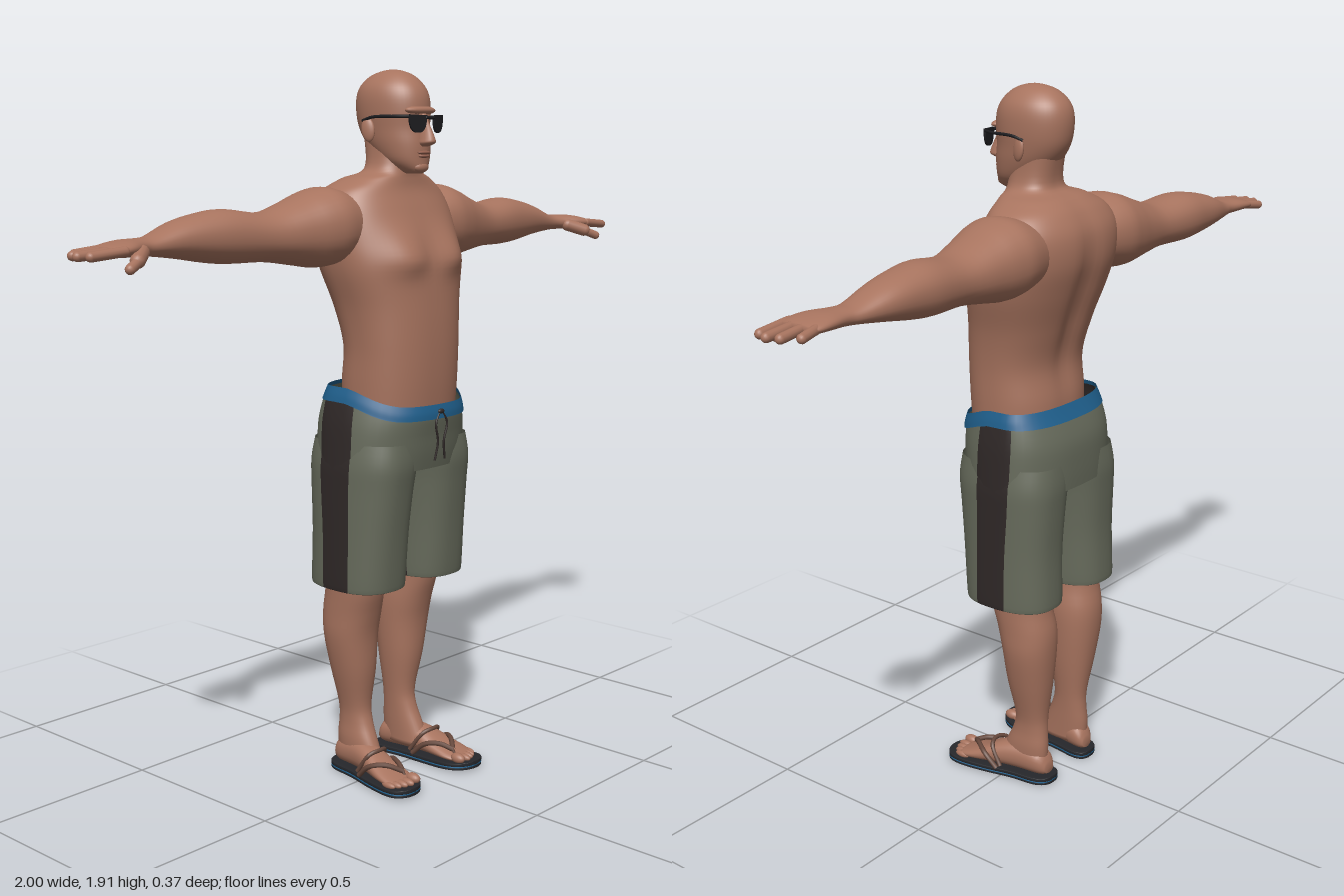
import * as THREE from 'three';

const mat = (name, color, side = THREE.FrontSide) => {
  const m = new THREE.MeshStandardMaterial({ color, side });
  m.name = name;
  return m;
};

// Smooth loft. Each section is [t, a0, a1, bFront, bBack, bCentre]; 'map' places (a, t, b) in space.
function loft(sections, { n = 2.2, cols = 48, sub = 4, caps = true, stripe = null, map = (a, t, b) => [a, t, b] } = {}) {
  const rows = [], last = sections.length - 1;
  const full = sections.map(s => (s.length > 5 ? s : [...s, (s[3] + s[4]) / 2]));
  const spline = (p, q, r, s, u) => q + 0.5 * u * (r - p + u * (2 * p - 5 * q + 4 * r - s + u * (3 * (q - r) + s - p)));
  for (let i = 0; i < last; i++)
    for (let k = 0; k < sub; k++) {
      const s = [Math.max(i - 1, 0), i, i + 1, Math.min(i + 2, last)].map(j => full[j]);
      rows.push(full[i].map((_, c) => spline(s[0][c], s[1][c], s[2][c], s[3][c], k / sub)));
    }
  rows.push(full[last]);
  const pos = [], plain = [], marked = [], capIdx = [];
  const pw = v => Math.sign(v) * Math.pow(Math.abs(v), 2 / n);
  for (const [t, a0, a1, bf, bb, bc] of rows)
    for (let j = 0; j < cols; j++) {
      const th = (j / cols) * Math.PI * 2, c = pw(Math.cos(th)), s = pw(Math.sin(th));
      pos.push(...map((a0 + a1) / 2 + c * (a1 - a0) / 2, t, bc + s * (s > 0 ? bf - bc : bc - bb)));
    }
  const R = rows.length;
  for (let i = 0; i < R - 1; i++)
    for (let j = 0; j < cols; j++) {
      const k = (j + 1) % cols, a = i * cols + j, b = a + cols, c = i * cols + k, d = c + cols;
      (stripe && stripe(j, cols) ? marked : plain).push(a, b, c, b, d, c);
    }
  for (const [row, up] of [[0, false], [R - 1, true]]) {
    const [t, a0, a1, bf, bb] = rows[row], m = pos.length / 3;
    pos.push(...map((a0 + a1) / 2, t, (bf + bb) / 2));
    for (let j = 0; j < cols; j++) {
      const p = row * cols + j, q = row * cols + (j + 1) % cols;
      capIdx.push(...(up ? [m, q, p] : [m, p, q]));
    }
  }
  // turn the faces outward
  const v = i => new THREE.Vector3().fromArray(pos, i * 3);
  const all = [...plain, ...marked, ...capIdx];
  let vol = 0;
  for (let i = 0; i < all.length; i += 3) vol += v(all[i]).dot(v(all[i + 1]).cross(v(all[i + 2])));
  const idx = caps ? all : [...plain, ...marked];
  if (vol < 0) flip(idx);
  const g = new THREE.BufferGeometry();
  g.setAttribute('position', new THREE.Float32BufferAttribute(pos, 3));
  g.setIndex(idx);
  if (stripe) {
    g.addGroup(0, plain.length, 0);
    g.addGroup(plain.length, marked.length, 1);
  }
  g.computeVertexNormals();
  return g;
}

function flip(idx) {
  for (let i = 0; i < idx.length; i += 3) [idx[i + 1], idx[i + 2]] = [idx[i + 2], idx[i + 1]];
}

const ball = (x, y, z, rx, ry, rz) => new THREE.SphereGeometry(1, 20, 14).scale(rx, ry, rz).translate(x, y, z);
const tube = (pts, r) => new THREE.TubeGeometry(new THREE.CatmullRomCurve3(pts.map(p => new THREE.Vector3(...p))), 24, r, 8);
function capsule(p, q, r) {
  const a = new THREE.Vector3(...p), b = new THREE.Vector3(...q), d = b.clone().sub(a);
  const rot = new THREE.Quaternion().setFromUnitVectors(new THREE.Vector3(0, 1, 0), d.clone().normalize());
  const mid = a.add(b).multiplyScalar(0.5);
  return new THREE.CapsuleGeometry(r, d.length(), 6, 12).applyQuaternion(rot).translate(mid.x, mid.y, mid.z);
}
const sym = list => list.map(([y, r, ...z]) => [y, -r, r, ...z]);
const bell = (v, w) => Math.exp(-((v / w) ** 2));

export function createModel() {
  const root = new THREE.Group();
  const skin = mat('skin', 0xa8745f), lipTone = mat('lips', 0x93604f);
  const cloth = mat('shorts green', 0x666a5b, THREE.DoubleSide), dark = mat('stripe dark', 0x2f2827, THREE.DoubleSide);
  const blue = mat('waistband blue', 0x1f5f8c, THREE.DoubleSide), black = mat('glasses black', 0x1d1d20);
  const rubber = mat('sole rubber', 0x26272b), strapTone = mat('strap brown', 0x66483c);

  const add = (name, geo, m) => {
    const mesh = new THREE.Mesh(geo, m);
    mesh.name = name;
    root.add(mesh);
  };
  const pair = (name, geo, m) => {
    add('left ' + name, geo, m);
    const g = geo.clone().scale(-1, 1, 1), idx = Array.from(g.index.array);
    flip(idx);
    g.setIndex(idx);
    add('right ' + name, g, m);
  };

  // Torso and neck, with chest muscles and a spine groove
  add('torso', loft(sym([
    [1.0, .16, .14, -.11], [1.1, .163, .148, -.112], [1.2, .165, .15, -.103], [1.3, .178, .146, -.13],
    [1.4, .204, .136, -.165], [1.48, .214, .112, -.187], [1.55, .212, .085, -.185], [1.6, .185, .064, -.16],
    [1.632, .13, .058, -.125], [1.66, .073, .057, -.075], [1.75, .062, .05, -.085],
  ]), {
    n: 2.4, cols: 72, sub: 6,
    map: (x, y, z) => z > 0
      ? [x, y, z + .024 * bell(Math.abs(x) - .085, .065) * bell(y - 1.43, y < 1.43 ? .04 : .07) * Math.min(1, z / .06)]
      : [x, y, z + .018 * bell(x, .035) * bell(y - 1.36, .2) * Math.min(1, -z / .06)],
  }), skin);

  // Head
  add('head', loft(sym([
    [1.645, .018, .09, .03], [1.655, .036, .101, .0], [1.68, .057, .103, -.03], [1.72, .07, .104, -.075],
    [1.76, .076, .1, -.102], [1.8, .08, .102, -.112], [1.84, .079, .098, -.112], [1.87, .069, .083, -.1],
    [1.895, .046, .055, -.072], [1.907, .022, .025, -.04], [1.911, .005, .0, -.015],
  ]), { n: 2.1 }), skin);
  add('nose', loft(sym([
    [1.714, .009, .112, .08], [1.723, .018, .135, .08], [1.735, .016, .136, .08], [1.765, .009, .122, .08], [1.798, .01, .104, .08],
  ]), { cols: 20 }), skin);
  add('brow', ball(0, 1.806, .088, .055, .012, .021), skin);
  add('chin', ball(0, 1.662, .09, .026, .015, .015), skin);
  add('upper lip', ball(0, 1.699, .102, .024, .005, .009), lipTone);
  add('lower lip', ball(0, 1.69, .101, .02, .005, .009), lipTone);
  pair('ear', ball(0, 0, 0, .009, .031, .019).rotateY(-.3).rotateX(-.15).translate(.083, 1.757, -.018), skin);

  // Sunglasses
  const lens = new THREE.Shape();
  lens.moveTo(-.024, .02);
  lens.lineTo(.029, .022);
  lens.bezierCurveTo(.031, -.008, .022, -.024, .002, -.024);
  lens.bezierCurveTo(-.017, -.024, -.023, -.008, -.024, .02);
  const lensGeo = new THREE.ExtrudeGeometry(lens, { depth: .006, bevelEnabled: false });
  lensGeo.setIndex([...Array(lensGeo.attributes.position.count).keys()]);
  pair('lens', lensGeo.rotateY(.28).translate(.035, 1.773, .112), black);
  add('glasses bridge', capsule([-.014, 1.787, .122], [.014, 1.787, .122], .004), black);
  pair('glasses temple', tube([[.062, 1.79, .106], [.078, 1.79, .07], [.086, 1.789, 0], [.086, 1.78, -.035]], .004), black);

  // Arms, hands and fingers
  pair('arm', loft([
    [.1, 1.44, 1.58, .03, -.15], [.2, 1.415, 1.612, .055, -.175], [.26, 1.41, 1.605, .05, -.172],
    [.33, 1.42, 1.58, .03, -.16], [.42, 1.432, 1.555, .008, -.15], [.53, 1.433, 1.566, -.005, -.16],
    [.6, 1.44, 1.56, -.015, -.158], [.68, 1.453, 1.542, -.028, -.15], [.76, 1.463, 1.512, -.04, -.128],
    [.8, 1.465, 1.508, -.038, -.118], [.85, 1.466, 1.507, -.012, -.124], [.89, 1.468, 1.5, -.003, -.124],
    [.915, 1.472, 1.492, -.01, -.116],
  ], { cols: 36, map: (y, x, z) => [x, y, z] }), skin);
  [[-.014, -.02, .976], [-.044, -.052, .988], [-.075, -.084, .978], [-.105, -.118, .948]].forEach(([z0, z1, x], i) =>
    pair('finger ' + (i + 1), capsule([.885, 1.484, z0], [x, 1.476, z1], .012), skin));
  pair('thumb base', capsule([.82, 1.478, -.035], [.86, 1.462, -.002], .018), skin);
  pair('thumb', capsule([.855, 1.462, -.002], [.895, 1.446, .015], .0125), skin);

  // Lower legs
  pair('leg', loft([
    [.04, .06, .127, .04, -.115], [.1, .058, .13, .012, -.119], [.15, .056, .126, -.01, -.115],
    [.2, .052, .13, -.018, -.115], [.3, .04, .155, -.003, -.13], [.4, .033, .175, .005, -.142],
    [.47, .032, .178, .02, -.143], [.55, .04, .18, .04, -.13], [.68, .035, .185, .05, -.13],
  ], { cols: 36 }), skin);

  // Shorts: the waist dips at the front, a dark stripe runs down each side
  const dip = (x, y, z) => [x, y - .047 * THREE.MathUtils.smoothstep(z, -.02, .15) * THREE.MathUtils.clamp((y - .96) / .1, 0, 1), z];
  const near = (j, c, at) => { const d = (j - at * c + c) % c; return d < 2 || d >= c - 2; };
  add('shorts hips', loft(sym([
    [.875, .212, .138, -.166, -.03], [.93, .209, .148, -.167, -.032], [1.0, .204, .155, -.163, -.036],
    [1.06, .194, .16, -.142, -.04], [1.085, .187, .158, -.128, -.04],
  ]), { n: 2.5, caps: false, map: dip, stripe: (j, c) => near(j, c, 0) || near(j, c, .5) }), [cloth, dark]);
  add('waistband', loft(sym([
    [1.057, .197, .166, -.146, -.04], [1.075, .193, .165, -.136, -.04], [1.096, .186, .16, -.125, -.04],
  ]), { n: 2.5, caps: false, map: dip }), blue);
  const legCut = [
    [.555, .022, .213, .1, -.158, -.015], [.565, .018, .217, .104, -.162, -.015], [.7, .015, .215, .116, -.158, -.02],
    [.82, .008, .213, .13, -.163, -.028], [.89, 0, .211, .139, -.166, -.03], [.95, -.005, .2, .135, -.16, -.03],
  ];
  pair('shorts leg', loft(legCut, { n: 2.5, caps: false, stripe: (j, c) => near(j, c, 0) || near(j, c, .5) }), [cloth, dark]);
  pair('shorts lining', loft(legCut.slice(0, 4).map(([y, a, b, f, k, c]) => [y, a + .006, b - .006, f - .006, k + .006, c]),
    { n: 2.5, caps: false }), blue);
  pair('drawstring', tube([[.004, 1.03, .163], [.022, 1.0, .166], [.012, .95, .164], [.02, .9, .16]], .003), dark);
  add('drawstring knot', ball(0, 1.03, .164, .012, .007, .006), dark);

  // Feet, toes and sandals, turned slightly outward
  const out = (a, y, z) => [.1 + a + (z + .05) * .13, y, z];
  pair('foot', loft([
    [-.127, -.018, .018, .055, .026], [-.105, -.034, .034, .09, .02], [-.04, -.036, .036, .1, .02],
    [.02, -.04, .042, .09, .02], [.07, -.045, .05, .066, .02], [.11, -.048, .051, .05, .02],
    [.135, -.044, .046, .041, .02], [.145, -.038, .04, .034, .022],
  ], { cols: 28, map: (a, t, b) => out(a, b, t) }), skin);
  [[-.032, .152, .0145], [-.008, .153, .0105], [.011, .147, .01], [.028, .139, .0095], [.043, .128, .009]].forEach(([a, z, r], i) =>
    pair('toe ' + (i + 1), ball(...out(a, .02 + r, z), r, r, .023), skin));
  const soleSection = (y0, y1, grow) => loft([
    [-.14, -.014, .014], [-.13, -.033, .033], [-.1, -.045, .045], [-.03, -.045, .045], [.05, -.053, .055],
    [.12, -.06, .06], [.16, -.052, .053], [.181, -.032, .032], [.188, -.012, .012],
  ].map(([t, a, b]) => [t, a * grow, b * grow, y1, y0]), {
    n: 8, cols: 32, map: (a, t, b) => out(a, b + .006 * Math.max(0, t / .19) ** 2, t),
  });
  pair('sandal tread', soleSection(0, .008, .98), rubber);
  pair('sandal middle', soleSection(.007, .011, 1), blue);
  pair('sandal footbed', soleSection(.01, .021, 1), rubber);
  const post = out(-.018, .05, .125);
  pair('inner strap', tube([out(-.046, .022, .01), out(-.043, .056, .05), out(-.03, .062, .09), post], .007), strapTone);
  pair('outer strap', tube([out(.05, .022, .01), out(.047, .058, .05), out(.018, .066, .09), post], .007), strapTone);
  pair('instep strap', tube([out(-.045, .03, 0), out(-.03, .082, .035), out(.0, .09, .045), out(.032, .082, .035), out(.047, .03, 0)], .006), strapTone);
  pair('toe post', capsule(post, out(-.019, .022, .138), .004), strapTone);
  return root;
}
